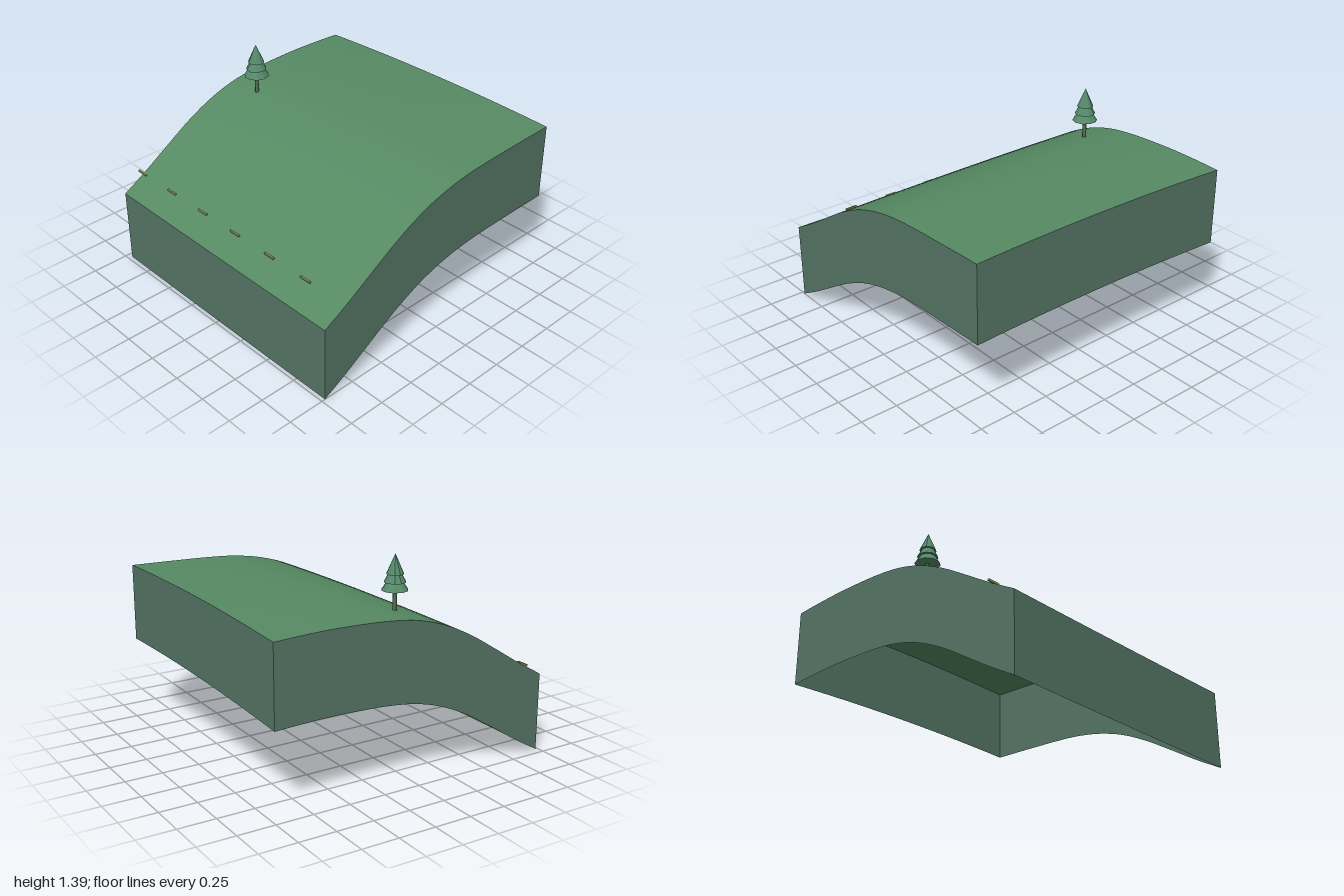
import * as THREE from 'three';

const NX = 40, NZ = 24, Z_BACK = -0.955, Z_FRONT = 1, DEPTH = 0.523;

// Height profiles along x at the front, middle and back
const XS = [-0.975, -0.8, -0.6, -0.4, -0.2, 0, 0.2, 0.4, 0.6, 0.8, 0.975];
const profile = (ys) => new THREE.SplineCurve(XS.map((x, i) => new THREE.Vector2(x, ys[i])));
const FRONT = profile([0.525, 0.622, 0.745, 0.865, 0.962, 1.025, 1.06, 1.075, 1.082, 1.088, 1.092]);
const MIDDLE = profile([0.525, 0.626, 0.755, 0.883, 0.983, 1.047, 1.08, 1.094, 1.1, 1.102, 1.103]);
const BACK = profile([0.53, 0.632, 0.76, 0.884, 0.98, 1.04, 1.067, 1.078, 1.082, 1.078, 1.07]);

// Point on the hill: u runs along x, v from back to front
function hillPoint(u, v) {
  const f = FRONT.getPoint(u), m = MIDDLE.getPoint(u), b = BACK.getPoint(u);
  const y = b.y * (1 - v) * (1 - 2 * v) + m.y * 4 * v * (1 - v) + f.y * v * (2 * v - 1);
  return new THREE.Vector3(f.x, y, THREE.MathUtils.lerp(Z_BACK, Z_FRONT, v));
}

// Surface through rows of points
function loft(rows) {
  const n = rows[0].length, index = [];
  for (let j = 0; j < rows.length - 1; j++) {
    for (let i = 0; i < n - 1; i++) {
      const a = j * n + i, b = a + 1, c = a + n, d = c + 1;
      index.push(a, c, b, b, c, d);
    }
  }
  const geo = new THREE.BufferGeometry().setFromPoints(rows.flat());
  geo.setIndex(index);
  geo.computeVertexNormals();
  return geo;
}

const range = (n, fn) => Array.from({ length: n + 1 }, (_, i) => fn(i / n));

export function createModel() {
  const model = new THREE.Group();
  const material = (name, color, extra = {}) => {
    const m = new THREE.MeshStandardMaterial({ color, ...extra });
    m.name = name;
    return m;
  };
  const grass = material('grass', 0x568a63, { side: THREE.DoubleSide });
  const earth = material('earth', 0x557665, { side: THREE.DoubleSide });
  const foliage = material('foliage', 0x55896a, { flatShading: true });
  const bark = material('bark', 0x4d7050);
  const paint = material('paint', 0x86a04e);

  const add = (parent, name, geo, mat, x = 0, y = 0, z = 0) => {
    const mesh = new THREE.Mesh(geo, mat);
    mesh.name = name;
    mesh.position.set(x, y, z);
    parent.add(mesh);
    return mesh;
  };

  // Curved top of the hill
  add(model, 'hillTop', loft(range(NZ, (v) => range(NX, (u) => hillPoint(u, v)))), grass);

  // Four skirt walls hanging from the edges, open underneath
  const edges = {
    frontWall: range(NX, (u) => hillPoint(u, 1)),
    backWall: range(NX, (u) => hillPoint(1 - u, 0)),
    leftWall: range(NZ, (v) => hillPoint(1, 1 - v)),
    rightWall: range(NZ, (v) => hillPoint(0, v)),
  };
  for (const [name, top] of Object.entries(edges)) {
    const bottom = top.map((p) => new THREE.Vector3(p.x, p.y - DEPTH, p.z));
    add(model, name, loft([top, bottom]), earth);
  }

  // Row of dashes along the low side
  for (let i = 0; i < 6; i++) {
    add(model, 'dash', new THREE.BoxGeometry(0.012, 0.012, 0.084), paint, -0.82, 0.626, 0.67 - i * 0.3256);
  }

  // Tiered conifer
  const tree = new THREE.Group();
  tree.name = 'tree';
  tree.position.set(0, 0, -0.71);
  model.add(tree);
  add(tree, 'trunk', new THREE.CylinderGeometry(0.012, 0.014, 0.15, 8), bark, 0, 1.105, 0);
  const tiers = [[0.084, 1.17, 1.3], [0.069, 1.22, 1.345], [0.055, 1.27, 1.395]];
  for (const [radius, base, tip] of tiers) {
    add(tree, 'foliageTier', new THREE.ConeGeometry(radius, tip - base, 10), foliage, 0, (base + tip) / 2, 0);
  }
  return model;
}
